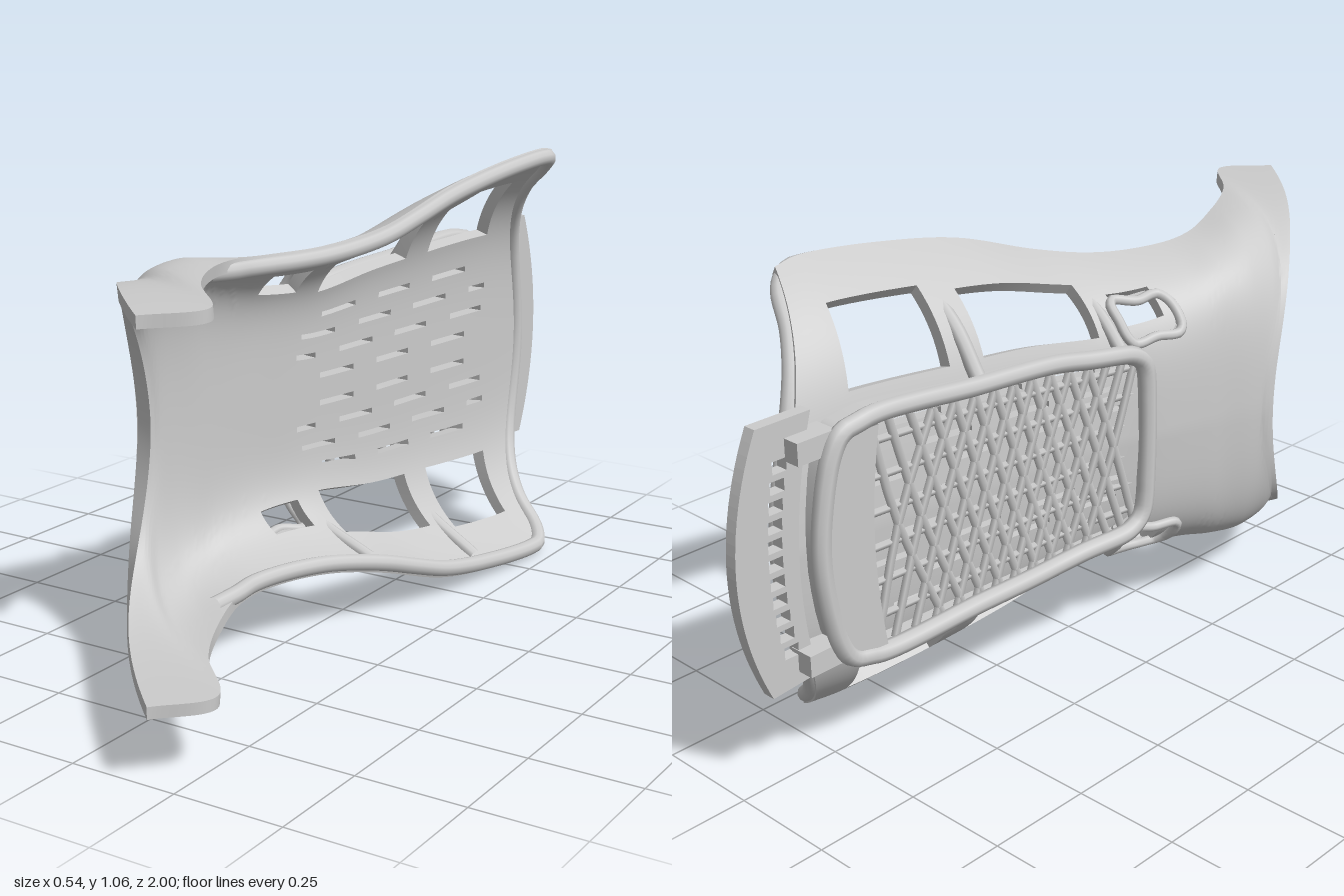
import * as THREE from 'three';
import { mergeGeometries, toCreasedNormals } from 'three/addons/utils/BufferGeometryUtils.js';

const MID = 0.527;            // height of the mirror plane
const SUB = 12, NU = 35;      // grid steps per section and per half width
const V = (x, y, z) => new THREE.Vector3(x, y, z);

// Slanted sections from arm tips to far end: [centre x, centre z, edge x, edge z, half width, U-ness]
const ROWS = [
  [-0.225, 0.44, 0.19, 1.0, 0.367, 1],
  [-0.223, 0.432, 0.27, 0.88, 0.369, 1],
  [-0.215, 0.415, 0.13, 0.72, 0.375, 1],
  [-0.205, 0.37, 0.045, 0.57, 0.373, 1],
  [-0.187, 0.31, -0.005, 0.42, 0.362, 0.85],
  [-0.172, 0.25, 0.005, 0.3, 0.356, 0.6],
  [-0.142, 0.15, 0.06, 0.15, 0.36, 0.35],
  [-0.09, 0, 0.125, 0, 0.39, 0.15],
  [-0.055, -0.2, 0.17, -0.2, 0.455, 0.05],
  [-0.03, -0.42, 0.193, -0.4, 0.49, 0],
  [0, -0.66, 0.21, -0.59, 0.508, 0],
  [0.02, -0.855, 0.207, -0.675, 0.5, 0],
];
const LAST = ROWS.length - 1;
const curveOf = (f) => new THREE.CatmullRomCurve3(ROWS.map(f), false, 'catmullrom', 0.5);
const centreLine = curveOf((r) => V(r[0], r[5], r[1]));
const edgeLine = curveOf((r) => V(r[2], r[4], r[3]));

// Point on the inner surface: r = section number, u = -1..1 across
function surf(r, u) {
  const t = THREE.MathUtils.clamp(r / LAST, 0, 1);
  const c = centreLine.getPoint(t), e = edgeLine.getPoint(t);
  const k = THREE.MathUtils.clamp(c.y, 0, 1), a = Math.min(1, Math.abs(u));
  const across = THREE.MathUtils.lerp(a, 1 - (1 - a) ** 2.6, k);
  return V(c.x + (e.x - c.x) * a ** (4.4 - 1.8 * k), MID + Math.sign(u) * e.y * across,
    c.z + (e.z - c.z) * a ** (1.9 - 0.15 * k));
}
function outerSurf(r, u) {
  const r0 = Math.max(0, r - 0.05), r1 = Math.min(LAST, r + 0.05);
  const u0 = Math.max(-1, u - 0.02), u1 = Math.min(1, u + 0.02);
  const n = surf(r1, u).sub(surf(r0, u)).cross(surf(r, u1).sub(surf(r, u0))).normalize();
  const thick = 0.026 + 0.021 * (1 - Math.abs(u));
  return surf(r, u).addScaledVector(n, -thick);
}

// Openings: three side windows per side and rows of slots in the middle panel
const WINDOWS = [[70, 79, 21, 27], [84, 103, 20, 29], [108, 122, 20, 30]];
function solid(j, i) {
  if (j < 0 || j >= LAST * SUB || i < -NU || i >= NU) return false;
  const b = i < 0 ? -i - 1 : i;
  if (WINDOWS.some(([j0, j1, i0, i1]) => j >= j0 && j < j1 && b >= i0 && b < i1)) return false;
  return !(j >= 81 && j < 122 && b < 17 && b % 4 === 2 && (j + b * 5) % 12 < 7);
}

function shellGeometry() {
  const W = 2 * NU + 1, H = LAST * SUB + 1, pos = [], idx = [];
  for (const f of [surf, outerSurf])
    for (let j = 0; j < H; j++)
      for (let i = -NU; i <= NU; i++) pos.push(...f(j / SUB, i / NU).toArray());
  const quad = (a, b, c, d) => idx.push(a, b, c, a, c, d);
  const O = W * H;
  for (let j = 0; j < H - 1; j++)
    for (let i = -NU; i < NU; i++) {
      if (!solid(j, i)) continue;
      const a = j * W + i + NU, b = a + W, c = b + 1, d = a + 1;
      quad(a, b, c, d);
      quad(d + O, c + O, b + O, a + O);
      // close the shell wherever the neighbour is open
      const sides = [[a, b, j, i - 1], [b, c, j + 1, i], [c, d, j, i + 1], [d, a, j - 1, i]];
      for (const [p, q, nj, ni] of sides) if (!solid(nj, ni)) quad(q, p, p + O, q + O);
    }
  const g = new THREE.BufferGeometry();
  g.setAttribute('position', new THREE.Float32BufferAttribute(pos, 3));
  g.setIndex(idx);
  return toCreasedNormals(g, 0.8);
}

// Point at the depth of the raised frame behind the panel
const onFrame = (r, u, lift = 0) => {
  const p = surf(r, u);
  p.x = -0.14 - 0.075 * p.z - 0.025 * THREE.MathUtils.smoothstep(p.z, -0.2, 0.05) + lift;
  return p;
};
const tube = (pts, radius, n, sides, closed = false) =>
  new THREE.TubeGeometry(new THREE.CatmullRomCurve3(pts, closed), n, radius, sides, closed);

// Strip of quads between two rows of points
function ribbon(pairs) {
  const pos = [], idx = [];
  pairs.forEach(([p, q], i) => {
    pos.push(...p.toArray(), ...q.toArray());
    if (i) idx.push(2 * i - 2, 2 * i - 1, 2 * i + 1, 2 * i - 2, 2 * i + 1, 2 * i);
  });
  const g = new THREE.BufferGeometry();
  g.setAttribute('position', new THREE.Float32BufferAttribute(pos, 3));
  g.setIndex(idx);
  g.computeVertexNormals();
  return g;
}

export function createModel() {
  const group = new THREE.Group();
  const grey = new THREE.MeshStandardMaterial({ color: 0xcccccc });
  const thin = new THREE.MeshStandardMaterial({ color: 0xcccccc, side: THREE.DoubleSide });
  const add = (name, geo, mat = grey) => {
    const m = new THREE.Mesh(geo, mat);
    m.name = name;
    group.add(m);
  };
  // Rounded loop standing off the shell, with a wall joining the two
  const raisedLoop = (name, corners, top, radius, n) => {
    const ring = new THREE.CatmullRomCurve3(corners.map(([r, u]) => V(r, u, 0)), true).getSpacedPoints(n);
    add(name, tube(ring.slice(0, -1).map((p) => top(p.x, p.y)), radius, n * 2, 8, true));
    add(name + 'Wall', ribbon(ring.map((p) =>
      [surf(p.x, p.y).add(V(-0.015, 0, 0)), top(p.x, p.y)])), thin);
  };

  add('shell', shellGeometry());

  // Rounded rim: along one edge, round the far end, back along the other; its ends sink into the shell
  const rim = [];
  for (let r = 3.5; r < LAST - 0.2; r += 0.5) rim.push(surf(r, -1));
  for (let u = -0.96; u <= 0.961; u += 0.12) rim.push(surf(LAST, u));
  for (let r = LAST - 0.5; r >= 3.5; r -= 0.5) rim.push(surf(r, 1));
  rim.forEach((p, i) => { p.x -= i === 0 || i === rim.length - 1 ? 0.035 : 0.008; });
  add('edgeRim', tube(rim, 0.02, 180, 10));

  // Closed frame behind the panel
  const half = [[6.5, 0.2], [6.55, 0.4], [6.8, 0.51], [7.6, 0.53], [9, 0.53], [10.4, 0.53], [10.75, 0.47], [10.8, 0.2]];
  const mirrored = half.map(([r, u]) => [r, -u]).reverse();
  raisedLoop('backFrame', [...half, ...mirrored], onFrame, 0.022, 100);

  // Small raised surround behind each of the small side windows
  for (const s of [-1, 1])
    raisedLoop('windowSurround',
      [[5.75, 0.58], [5.75, 0.79], [6.25, 0.8], [6.7, 0.79], [6.7, 0.58], [6.25, 0.57]].map(([r, u]) => [r, u * s]),
      (r, u) => surf(r, u).add(V(-0.06, 0, 0)), 0.012, 24);

  // Solid crossbar closing the far end of the frame
  const across = Array.from({ length: 21 }, (_, i) => (i / 10 - 1) * 0.5);
  add('frameCrossbar', mergeGeometries([
    ribbon(across.map((u) => [onFrame(10.15, u, -0.01), onFrame(10.78, u, -0.01)])),
    ribbon(across.map((u) => [onFrame(10.15, u, -0.01), surf(10.15, u).add(V(-0.015, 0, 0))])),
  ]), thin);

  // Diagonal lattice inside the frame
  const bars = [];
  for (let r = 6.6; r < 9.4; r += 0.25)
    for (const s of [-1, 1])
      bars.push(tube([-0.52, 0, 0.52].map((u) => onFrame(r + (u + 0.52) * 0.8, u * s, 0.02)), 0.01, 6, 5));
  for (let u = -0.4; u <= 0.41; u += 0.16)
    bars.push(tube([6.55, 7.5, 9, 10.2].map((r) => onFrame(r, u, 0.025)), 0.009, 12, 5));
  add('backLattice', mergeGeometries(bars));

  // Struts from the panel frame to the rim
  const struts = [];
  for (const s of [-1, 1])
    for (const [r, rad] of [[6.85, 0.016], [8.8, 0.018]])
      struts.push(tube([onFrame(r, 0.53 * s, 0.03), surf(r, 0.75 * s).add(V(-0.03, 0, 0)),
        surf(r, 0.97 * s)], rad, 12, 8));
  add('sideStruts', mergeGeometries(struts));

  // Curved end plate with a row of slots
  const plate = new THREE.Shape();
  plate.moveTo(-0.79, MID + 0.305);
  plate.lineTo(-0.93, MID + 0.305);
  plate.quadraticCurveTo(-1.07, MID, -0.93, MID - 0.3);
  plate.lineTo(-0.81, MID - 0.29);
  plate.quadraticCurveTo(-0.88, MID, -0.79, MID + 0.305);
  for (let k = -5; k <= 5; k++) {
    const y = MID + k * 0.042, z = -0.9 + 0.55 * (k * 0.042) ** 2;
    const h = new THREE.Path();
    h.moveTo(z - 0.018, y - 0.014);
    h.lineTo(z + 0.018, y - 0.014);
    h.lineTo(z + 0.018, y + 0.014);
    h.lineTo(z - 0.018, y + 0.014);
    h.closePath();
    plate.holes.push(h);
  }
  const plateGeo = new THREE.ExtrudeGeometry(plate, { depth: 0.03, bevelEnabled: false, curveSegments: 24 });
  plateGeo.rotateY(-Math.PI / 2);
  plateGeo.translate(-0.005, 0, 0);
  add('endPlate', plateGeo);

  // Short brackets holding the end plate to the frame
  for (const s of [-1, 1]) {
    const g = new THREE.BoxGeometry(0.06, 0.05, 0.1);
    g.translate(-0.045, MID + s * 0.24, -0.81);
    add('plateBracket', g);
  }
  return group;
}
